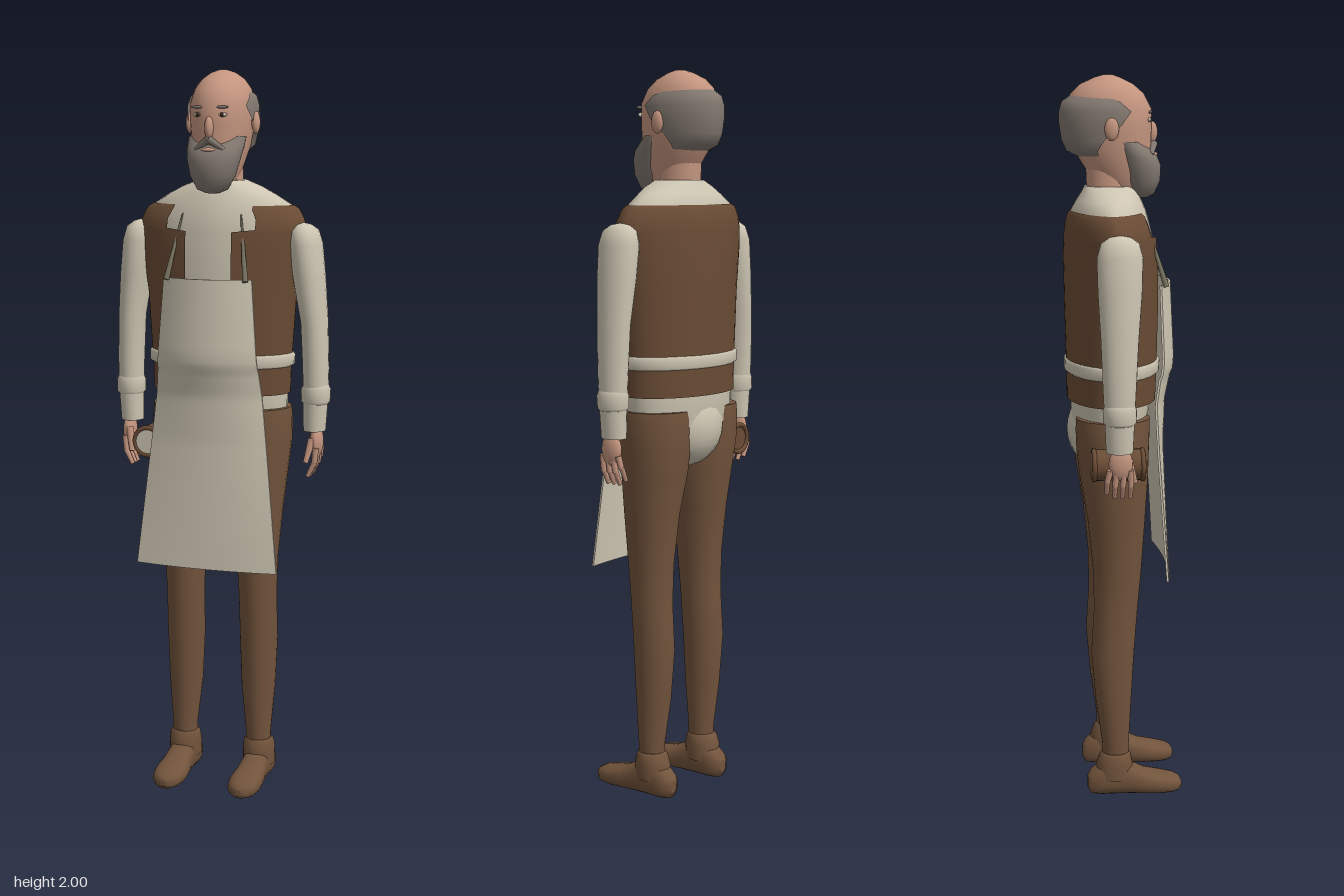
import * as THREE from 'three';

const mat = (name, color, double) => {
  const m = new THREE.MeshStandardMaterial({ color });
  m.name = name;
  if (double) m.side = THREE.DoubleSide;
  return m;
};

// Skin over horizontal sections: [y, halfWidth, zFront, zBack, xCentre, power, frontGapAngle]
function loft(rings, n = 28) {
  const open = rings.some(r => r[6] > 0), cols = open ? n + 1 : n;
  const pos = [], idx = [];
  const pw = (v, p) => Math.sign(v) * Math.abs(v) ** (2 / p);
  const ringPoint = ([y, rx, zf, zb, cx = 0, p = 2, gap = 0], j) => {
    const t = gap + (j / n) * (Math.PI * 2 - 2 * gap);
    return [cx + rx * pw(Math.sin(t), p), y, (zf + zb) / 2 + (zf - zb) / 2 * pw(Math.cos(t), p)];
  };
  for (const r of rings) for (let j = 0; j < cols; j++) pos.push(...ringPoint(r, j));
  for (let i = 0; i < rings.length - 1; i++) for (let j = 0; j < n; j++) {
    const k = (j + 1) % cols, a = i * cols, b = a + cols;
    idx.push(a + j, a + k, b + j, a + k, b + k, b + j);
  }
  if (!open) for (const top of [false, true]) {
    const r = top ? rings[rings.length - 1] : rings[0], c = pos.length / 3;
    pos.push(r[4] || 0, r[0], (r[2] + r[3]) / 2);
    for (let j = 0; j < n; j++) pos.push(...ringPoint(r, j));
    for (let j = 0; j < n; j++) {
      const a = c + 1 + j, b = c + 1 + (j + 1) % n;
      idx.push(c, top ? a : b, top ? b : a);
    }
  }
  const g = new THREE.BufferGeometry();
  g.setAttribute('position', new THREE.Float32BufferAttribute(pos, 3));
  g.setIndex(idx);
  g.computeVertexNormals();
  return g;
}

// Piecewise linear lookup in descending [y, value] pairs
function lookup(table, y) {
  for (let i = 1; i < table.length; i++) {
    const [y0, v0] = table[i - 1], [y1, v1] = table[i];
    if (y >= y1) return v0 + (v1 - v0) * Math.max(0, (y0 - y) / (y0 - y1));
  }
  return table[table.length - 1][1];
}

export function createModel() {
  const root = new THREE.Group();
  const skin = mat('skin', 0xc4957f), cream = mat('cream linen', 0xcdc5b2, true);
  const vestMat = mat('vest brown', 0x6a4c35, true), hose = mat('hose brown', 0x72543c);
  const hairMat = mat('grey hair', 0x827870, true), dark = mat('dark brown', 0x3a2a20);
  const strapMat = mat('strap grey', 0x77725f);

  const add = (name, geo, m, parent = root) => {
    const mesh = new THREE.Mesh(geo, m);
    mesh.name = name;
    parent.add(mesh);
    return mesh;
  };
  const blob = (name, m, [x, y, z], [sx, sy, sz]) =>
    add(name, new THREE.SphereGeometry(1, 20, 14).scale(sx, sy, sz).translate(x, y, z), m);
  const rod = (name, m, a, b, r0, r1) => {
    const A = new THREE.Vector3(...a), B = new THREE.Vector3(...b), d = B.clone().sub(A);
    const mesh = add(name, new THREE.CylinderGeometry(r1, r0, d.length(), 10), m);
    mesh.position.copy(A).add(B).multiplyScalar(0.5);
    mesh.quaternion.setFromUnitVectors(new THREE.Vector3(0, 1, 0), d.normalize());
    return mesh;
  };

  // Head and neck
  add('head', loft([
    [1.70, .045, .07, -.06], [1.74, .062, .08, -.085], [1.80, .077, .083, -.125],
    [1.86, .085, .085, -.143], [1.91, .085, .085, -.147], [1.95, .074, .064, -.133],
    [1.975, .056, .035, -.107], [1.992, .033, 0, -.07], [1.999, .012, -.02, -.045], [2, .002, -.03, -.034],
  ]), skin);
  add('neck', loft([[1.62, .062, .04, -.095], [1.69, .056, .03, -.09], [1.80, .056, .03, -.095]]), skin);
  add('hair', loft([
    [1.785, .068, .08, -.115, 0, 2, 2], [1.80, .085, .085, -.145, 0, 2, 1.9], [1.83, .092, .09, -.158, 0, 2, 1.7],
    [1.87, .095, .09, -.164, 0, 2, 1.3], [1.905, .094, .09, -.164, 0, 2, 1.08],
    [1.93, .087, .082, -.157, 0, 2, 1.3], [1.948, .07, .06, -.13, 0, 2, 1.75],
  ]), hairMat);
  add('beard', loft([
    [1.675, .018, .075, .035], [1.685, .042, .093, .02], [1.72, .062, .108, .0], [1.76, .072, .11, -.015],
    [1.785, .077, .1, -.025], [1.80, .079, .085, -.03], [1.825, .08, .06, -.035],
  ]), hairMat);
  blob('nose', skin, [0, 1.848, .084], [.012, .03, .017]);
  blob('lips', skin, [0, 1.79, .091], [.02, .006, .01]);
  for (const s of [1, -1]) {
    blob('ear', skin, [s * .094, 1.86, -.03], [.011, .03, .019]);
    blob('eye', cream, [s * .034, 1.882, .075], [.014, .006, .005]);
    blob('iris', dark, [s * .034, 1.882, .078], [.006, .006, .004]);
    blob('brow', hairMat, [s * .034, 1.902, .078], [.019, .004, .005]).rotation.z = 0;
    rod('moustache', hairMat, [0, 1.818, .09], [s * .04, 1.79, .08], .011, .006);
  }

  // Shirt: body, sloping collar and rear tail
  add('shirt', loft([
    [.98, .165, .05, -.11], [1.05, .185, .07, -.135], [1.14, .188, .085, -.138], [1.4, .2, .09, -.142, 0, 1.9],
    [1.57, .215, .088, -.142, 0, 1.8], [1.64, .2, .07, -.135, 0, 1.7], [1.67, .15, .057, -.118, 0, 1.8],
    [1.69, .11, .047, -.105], [1.707, .066, .038, -.097],
  ], 40), cream);
  blob('shirtTail', cream, [0, 1.04, -.05], [.115, .115, .098]);

  // Vest with an open, notched front
  const vestRing = (y, rx, zf, zb, p, gapX) =>
    [y, rx, zf, zb, 0, p, Math.asin((gapX / rx) ** (p / 2))];
  add('vest', loft([
    vestRing(1.13, .196, .097, -.147, 2, .065), vestRing(1.2, .198, .1, -.148, 2, .065),
    vestRing(1.4, .212, .105, -.153, 1.9, .065), vestRing(1.52, .23, .103, -.155, 1.8, .065),
    vestRing(1.574, .238, .1, -.153, 1.7, .065), vestRing(1.58, .238, .1, -.153, 1.7, .125),
    vestRing(1.605, .232, .092, -.15, 1.7, .125), vestRing(1.632, .217, .08, -.144, 1.7, .112),
    vestRing(1.642, .2, .071, -.136, 1.7, .11),
  ], 48), vestMat);
  add('belt', loft([[1.205, .2, .1, -.148], [1.21, .207, .106, -.154], [1.236, .208, .107, -.155], [1.242, .2, .1, -.148]], 40), cream);

  // Apron: thin slab widened and curved by rule, with a fold at the waist
  const width = [[1.45, .125], [1.22, .142], [.65, .203]];
  const depth = [[1.45, .137], [1.25, .147], [1.215, .145], [1.2, .138], [1.13, .122], [1, .118], [.65, .132]];
  const droop = [[1.45, .036], [1.2, .04], [1, .025], [.65, .016]];
  const apron = new THREE.BoxGeometry(2, .8, .006, 16, 54, 1).translate(0, 1.05, -.003);
  const ap = apron.attributes.position;
  for (let i = 0; i < ap.count; i++) {
    const u = ap.getX(i), y = ap.getY(i);
    ap.setXYZ(i, u * lookup(width, y), y, ap.getZ(i) + lookup(depth, y) - lookup(droop, y) * u * u);
  }
  apron.computeVertexNormals();
  add('apron', apron, cream);

  for (const s of [1, -1]) {
    rod('apronStrap', strapMat, [s * .112, 1.445, .115], [s * .083, 1.62, .062], .008, .002);

    // Sleeve, cuff roll and wrist
    add('sleeve', loft([
      [1.03, s => s, 0, 0], [1.03, .031, .012, -.06, .268],
    ].slice(1).concat([
      [1.1, .034, .015, -.063, .27], [1.2, .036, .02, -.068, .27], [1.33, .037, .027, -.073, .265],
      [1.45, .044, .037, -.079, .25], [1.54, .045, .04, -.081, .24], [1.577, .038, .03, -.07, .236],
      [1.592, .02, .008, -.048, .233], [1.596, .004, -.015, -.025, .232],
    ]).map(r => [r[0], r[1], r[2], r[3], r[4] * s]), 20), cream);
    add('cuff', loft([
      [1.105, .034, .014, -.062], [1.112, .04, .02, -.068], [1.145, .04, .021, -.069], [1.158, .034, .016, -.064],
    ].map(r => [...r, .271 * s]), 20), cream);

    // Hand with curled fingers and a thumb
    blob('palm', skin, [s * .275, 1.0, -.022], [.018, .045, .032]);
    for (let f = 0; f < 4; f++) {
      const z = -.05 + f * .018, low = .925 + (f === 0 ? .012 : 0);
      rod('finger', skin, [s * .28, .985, z], [s * .276, low + .015, z * 1.15], .009, .008);
      rod('fingerTip', skin, [s * .277, low + .02, z * 1.15], [s * .258, low - .02, z * 1.15], .008, .006);
    }
    rod('thumb', skin, [s * .268, 1.01, .0], [s * .255, .945, .018], .011, .007);

    // Hose leg
    add('leg', loft([
      [.05, .033, .012, -.058, .11], [.15, .036, .015, -.06, .111], [.28, .048, .022, -.078, .109],
      [.42, .053, .03, -.09, .109], [.55, .053, .04, -.082, .108], [.66, .058, .05, -.084, .107],
      [.8, .073, .06, -.098, .105], [.92, .091, .068, -.118, .1], [1.0, .098, .07, -.128, .102],
      [1.06, .098, .072, -.13, .102], [1.09, .096, .072, -.128, .101],
    ].map(r => [r[0], r[1], r[2], r[3], r[4] * s]), 24), hose);

    // Shoe: sections run from heel to toe, then turned to lie along z
    add('shoe', loft([
      [-.102, .012, -.02, -.055], [-.092, .03, -.003, -.072], [-.06, .04, 0, -.098], [-.02, .039, 0, -.108],
      [.02, .038, 0, -.09], [.06, .043, 0, -.07], [.105, .047, 0, -.06], [.14, .04, -.002, -.052],
      [.158, .026, -.006, -.044], [.165, .008, -.015, -.032],
    ].map(r => [...r, .112 * s, 2.4]), 20).rotateX(Math.PI / 2), hose);
    add('ankleCuff', loft([
      [.05, .045, .025, -.08], [.09, .046, .026, -.078], [.118, .043, .02, -.068], [.126, .036, .014, -.06],
    ].map(r => [...r, .112 * s]), 20), hose);
  }

  // Round pouch at the right hip with a pale front
  const pouch = new THREE.Group();
  pouch.name = 'pouch';
  pouch.position.set(-.197, .98, -.022);
  root.add(pouch);
  add('pouchBody', new THREE.CylinderGeometry(.042, .042, .13, 24).rotateX(Math.PI / 2), vestMat, pouch);
  for (const z of [-.065, .065]) add('pouchRim', new THREE.TorusGeometry(.039, .007, 8, 24).translate(0, 0, z), vestMat, pouch);
  add('pouchFront', new THREE.CylinderGeometry(.034, .034, .006, 24).rotateX(Math.PI / 2).translate(0, 0, .066), cream, pouch);
  return root;
}
